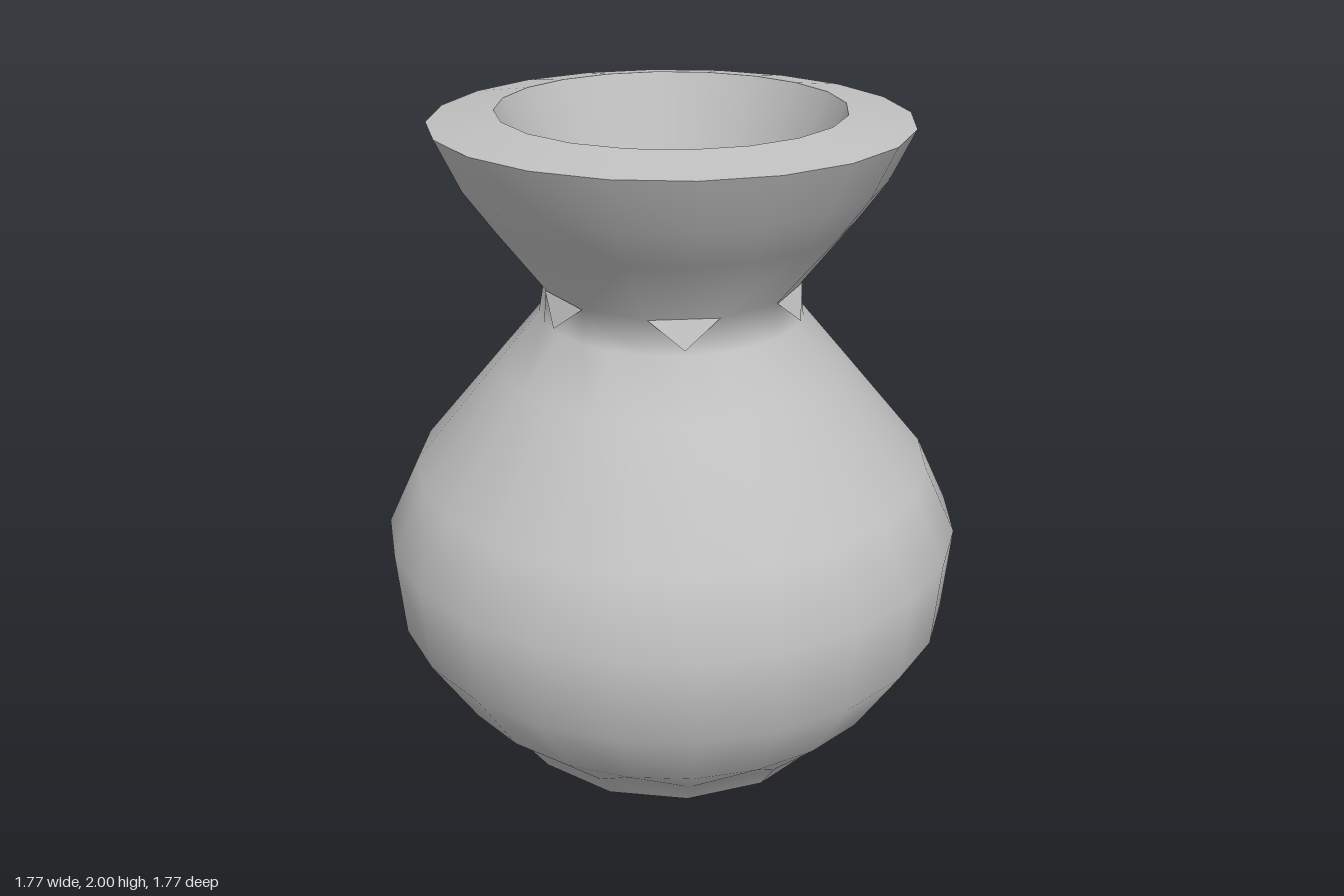
import * as THREE from 'three';

// A ring of n corners: radius r, height y, turned by `turn` of one side
const ring = (n, r, y, turn = 0) => ({ n, r, y, turn });

// Smooth skin through rings that may differ in side count; profile runs counter-clockwise
function loft(rings) {
  const pos = [], index = [], starts = [];
  const angle = (g, i) => ((i + g.turn) / g.n) * Math.PI * 2;
  for (const g of rings) {
    starts.push(pos.length / 3);
    for (let i = 0; i < g.n; i++) {
      const a = angle(g, i);
      pos.push(g.r * Math.sin(a), g.y, g.r * Math.cos(a));
    }
  }
  for (let k = 0; k + 1 < rings.length; k++) {
    const lo = rings[k], hi = rings[k + 1];
    const L = (i) => starts[k] + (i % lo.n), H = (j) => starts[k + 1] + (j % hi.n);
    let i = 0, j = 0;
    while (i < lo.n || j < hi.n) {
      if (j >= hi.n || (i < lo.n && angle(lo, i + 1) <= angle(hi, j + 1) + 1e-6)) {
        index.push(L(i), L(i + 1), H(j));
        i++;
      } else {
        index.push(L(i), H(j + 1), H(j));
        j++;
      }
    }
  }
  const geo = new THREE.BufferGeometry();
  geo.setAttribute('position', new THREE.Float32BufferAttribute(pos, 3));
  geo.setIndex(index);
  geo.computeVertexNormals();
  return geo;
}

export function createModel() {
  const group = new THREE.Group();
  const clay = new THREE.MeshStandardMaterial({ color: 0xc0c0c0 });
  clay.name = 'grey clay';
  const add = (name, geo) => {
    const mesh = new THREE.Mesh(geo, clay);
    mesh.name = name;
    group.add(mesh);
  };

  const foot = ring(14, 0.54, 0);
  const lip = ring(20, 0.69, 1.97);
  const mouth = ring(20, 0.5, 2);

  add('base', loft([ring(14, 0.001, 0), foot]));

  // Round belly, narrow neck and flared funnel
  add('outerWall', loft([
    foot,
    ring(14, 0.61, 0.1),
    ring(24, 0.725, 0.22),
    ring(24, 0.865, 0.45),
    ring(24, 0.885, 0.72),
    ring(24, 0.785, 0.93),
    ring(24, 0.52, 1.25),
    ring(24, 0.395, 1.4),
    ring(12, 0.385, 1.5, 0.5),
    ring(20, 0.535, 1.7),
    ring(20, 0.62, 1.82),
    lip,
  ]));

  add('rim', loft([lip, mouth]));
  add('innerCone', loft([mouth, ring(20, 0.001, 0.8)]));

  // Small upward-leaning facets under the funnel
  const point = (deg, r, y) => {
    const a = THREE.MathUtils.degToRad(deg);
    return new THREE.Vector3(r * Math.sin(a), y, r * Math.cos(a));
  };
  for (const deg of [0, 60, -60, 192]) {
    const geo = new THREE.BufferGeometry().setFromPoints([
      point(deg, 0.41, 1.42), point(deg + 15, 0.388, 1.5), point(deg - 15, 0.388, 1.5),
    ]);
    geo.computeVertexNormals();
    add('neckFacet', geo);
  }
  return group;
}
